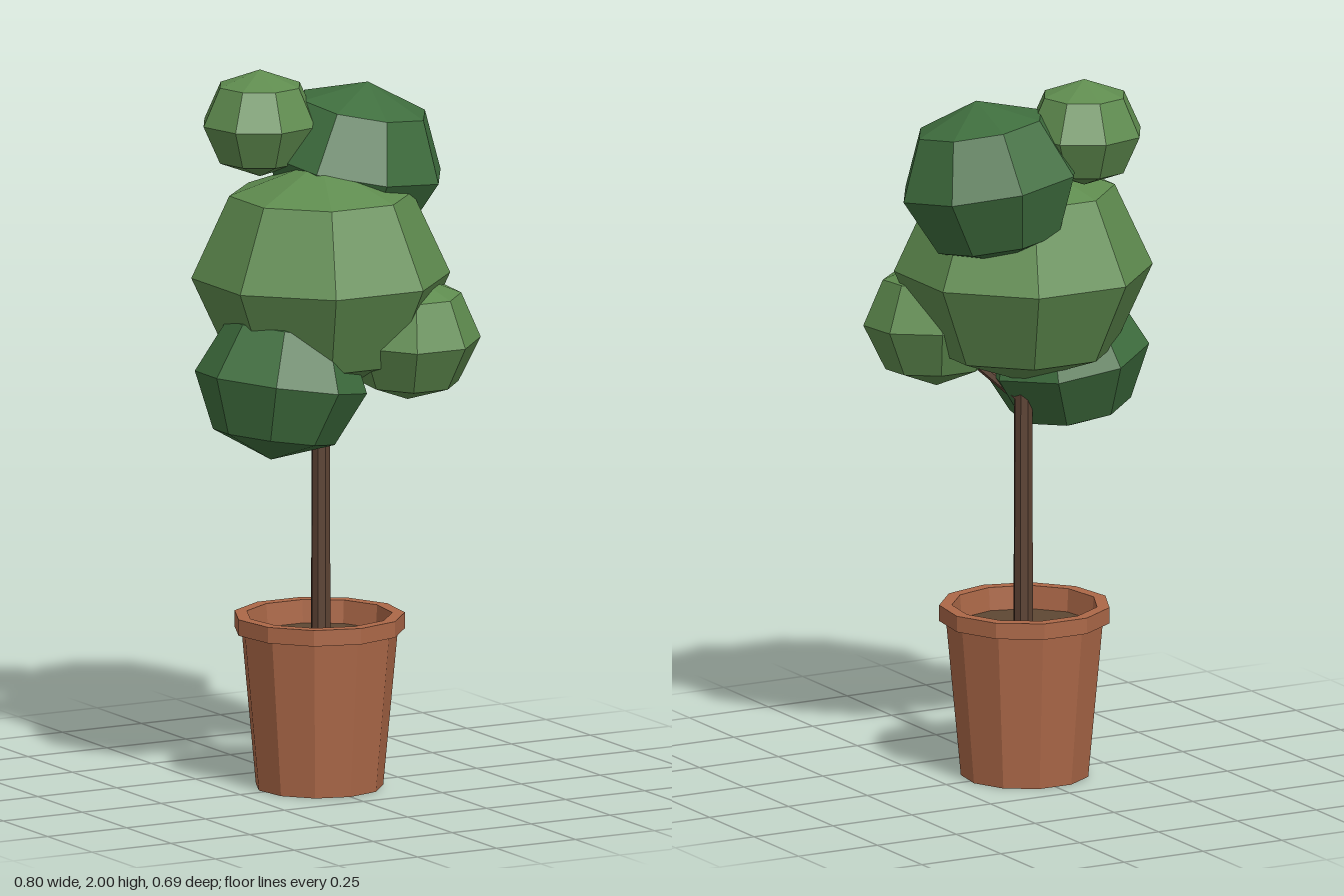
import * as THREE from 'three';

const flat = (name, color) => {
  const m = new THREE.MeshStandardMaterial({ color, flatShading: true });
  m.name = name;
  return m;
};

export function createModel() {
  const lightLeaf = flat('light leaf green', 0x5f8c4f);
  const darkLeaf = flat('dark leaf green', 0x3f6e3e);
  const clay = flat('terracotta', 0xac6848);
  const bark = flat('bark brown', 0x5c4233);
  const earth = flat('soil brown', 0x5e4833);

  const model = new THREE.Group();
  model.name = 'pottedTree';
  const add = (name, geometry, material) => {
    const mesh = new THREE.Mesh(geometry, material);
    mesh.name = name;
    model.add(mesh);
    return mesh;
  };
  const lathe = (pairs) =>
    new THREE.LatheGeometry(pairs.map(([r, y]) => new THREE.Vector2(r, y)), 11);

  // Eleven-sided pot: base and tapered wall, then the overhanging rim and inner wall
  add('pot', lathe([[0, 0], [0.178, 0], [0.219, 0.44]]), clay);
  add('potRim', lathe([[0.215, 0.44], [0.238, 0.44], [0.238, 0.485], [0.203, 0.485], [0.196, 0.40]]), clay);
  const soil = add('soil', new THREE.CircleGeometry(0.2, 11), earth);
  soil.rotation.set(-Math.PI / 2, 0, -Math.PI / 2);
  soil.position.y = 0.42;

  // Trunk and branches, each a tapered stick between two points
  const stick = (name, from, to, r0, r1, sides) => {
    const a = new THREE.Vector3(...from);
    const b = new THREE.Vector3(...to);
    const dir = b.clone().sub(a);
    const mesh = add(name, new THREE.CylinderGeometry(r1, r0, dir.length(), sides), bark);
    mesh.position.copy(a).add(b).multiplyScalar(0.5);
    mesh.quaternion.setFromUnitVectors(new THREE.Vector3(0, 1, 0), dir.normalize());
  };
  stick('trunk', [0, 0.41, 0.01], [0, 1.3, 0.01], 0.028, 0.025, 8);
  stick('leftBranch', [0, 1.06, 0.01], [0.18, 1.24, 0.15], 0.016, 0.012, 6);
  stick('rightBranch', [0, 1.04, 0.01], [-0.14, 1.16, 0.06], 0.016, 0.012, 6);

  // Faceted foliage balls: name, material, centre, radius, turn, tilt x, tilt z
  const balls = [
    ['middleFoliage', lightLeaf, [0, 1.44, 0.01], 0.36, 22.5, 0, 0],
    ['upperLeftFoliage', darkLeaf, [0.16, 1.725, -0.085], 0.258, -8, 0.1, -0.13],
    ['topFoliage', lightLeaf, [-0.1, 1.85, -0.155], 0.167, -8, 0, 0],
    ['lowerRightFoliage', darkLeaf, [-0.16, 1.165, 0.07], 0.24, -33, -0.04, -0.17],
    ['lowerLeftFoliage', lightLeaf, [0.195, 1.275, 0.163], 0.198, -23, 0.06, 0],
  ];
  for (const [name, material, centre, r, turn, tiltX, tiltZ] of balls) {
    const geometry = new THREE.SphereGeometry(r, 8, 4).scale(1, 0.9, 1);
    const mesh = add(name, geometry, material);
    mesh.position.set(...centre);
    mesh.rotation.set(tiltX, THREE.MathUtils.degToRad(turn), tiltZ, 'ZXY');
  }
  return model;
}
